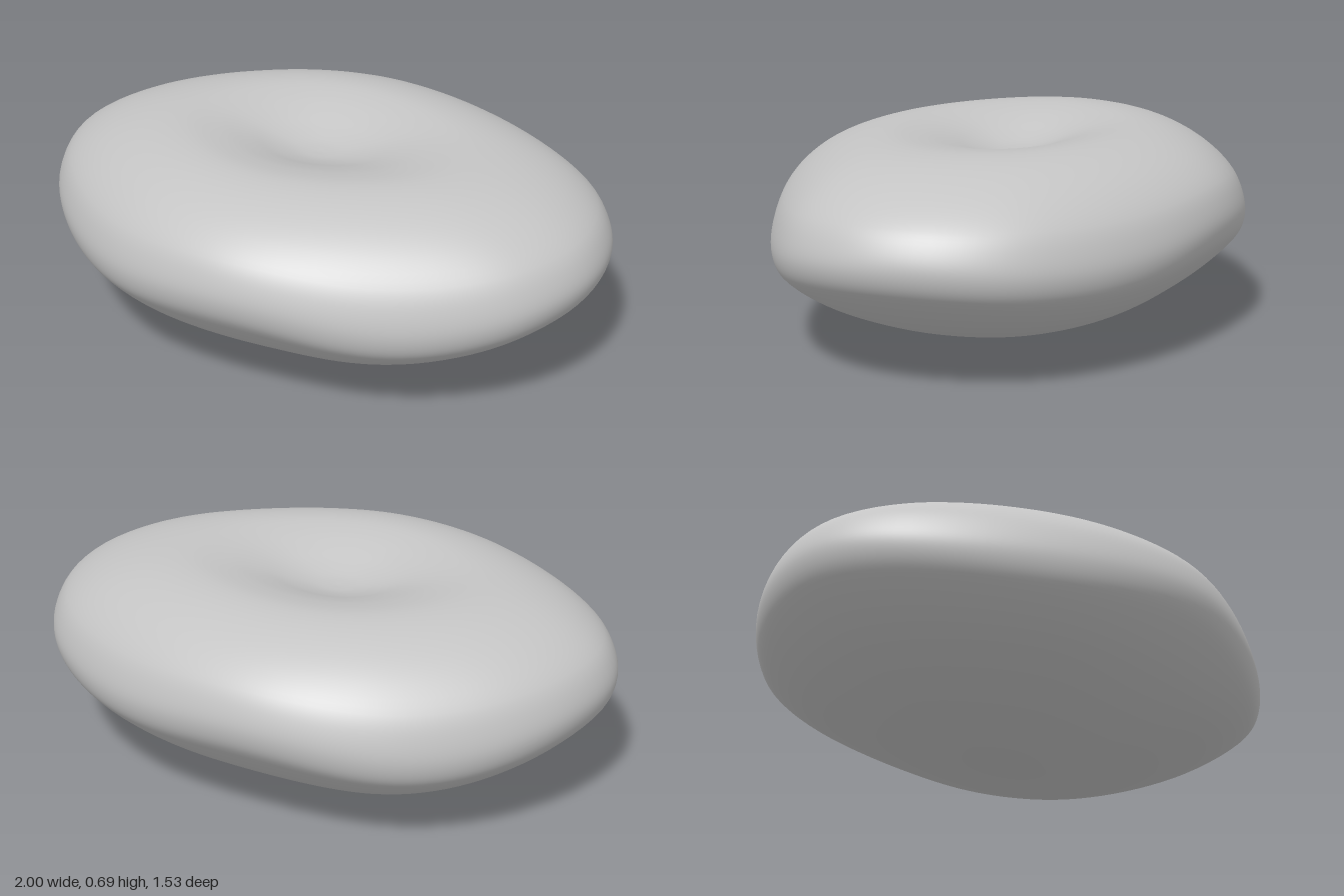
import * as THREE from 'three';

const v = (x, y) => new THREE.Vector3(x, y, 0);

// Outline of the widest ring, seen from above (x, z)
const outline = new THREE.CatmullRomCurve3([
  v(1, 0.04), v(0.97, 0.21), v(0.865, 0.39), v(0.64, 0.57), v(0.33, 0.71), v(-0.03, 0.764),
  v(-0.4, 0.69), v(-0.72, 0.49), v(-0.93, 0.24), v(-1, 0), v(-0.94, -0.25), v(-0.77, -0.485),
  v(-0.47, -0.69), v(-0.13, -0.766), v(0.27, -0.715), v(0.61, -0.57), v(0.85, -0.375), v(0.965, -0.17),
], true);

// Cross-section from the belly over the rim into the dimple (radius fraction, height)
const profile = new THREE.CatmullRomCurve3([
  v(0, 0), v(0.15, 0.005), v(0.3, 0.025), v(0.46, 0.06), v(0.64, 0.12), v(0.81, 0.205), v(0.94, 0.305),
  v(0.985, 0.36), v(1, 0.42), v(0.985, 0.48), v(0.945, 0.54), v(0.84, 0.609), v(0.68, 0.664), v(0.52, 0.685),
  v(0.38, 0.673), v(0.27, 0.65), v(0.17, 0.623), v(0.08, 0.605), v(0, 0.6),
]);

// Rings of the outline, scaled along the cross-section
function pebbleGeometry(rows, cols) {
  const pos = [], idx = [];
  const around = outline.getSpacedPoints(cols);
  for (let i = 0; i <= rows; i++) {
    const p = profile.getPoint(i / rows);
    const s = Math.max(p.x, 0);
    // the belly is lowest slightly towards -x
    const shift = (1 - s) * (-0.1 + 0.07 * Math.min(1, p.y / 0.6));
    for (let j = 0; j < cols; j++) {
      const { x, y: z } = around[j];
      // the rim droops on the diagonals, most at +x+z and -x-z
      const diagonal = Math.sin(2 * Math.atan2(z, x));
      const droop = (0.055 + 0.015 * diagonal) * diagonal ** 2;
      const y = p.y - droop * s * s * Math.sin(Math.PI * Math.min(1, p.y / 0.685));
      pos.push(x * s + shift, Math.max(y, 0), z * s);
      if (i === rows) continue;
      const a = i * cols + j, b = i * cols + (j + 1) % cols;
      if (i < rows - 1) idx.push(a, a + cols, b + cols);
      else idx.push(a, a + cols, b);
      if (i > 0 && i < rows - 1) idx.push(a, b + cols, b);
    }
  }
  // collapse the two end rings to a single pole vertex each
  const last = rows * cols;
  const merged = idx.map((k) => (k < cols ? 0 : k >= last ? last : k));
  const geo = new THREE.BufferGeometry();
  geo.setAttribute('position', new THREE.Float32BufferAttribute(pos, 3));
  geo.setIndex(merged);
  geo.computeVertexNormals();
  return geo;
}

export function createModel() {
  const group = new THREE.Group();
  group.name = 'dimpledPebble';
  const grey = new THREE.MeshStandardMaterial({ color: 0xc4c4c4 });
  grey.name = 'grey';
  const body = new THREE.Mesh(pebbleGeometry(90, 120), grey);
  body.name = 'body';
  group.add(body);
  return group;
}
